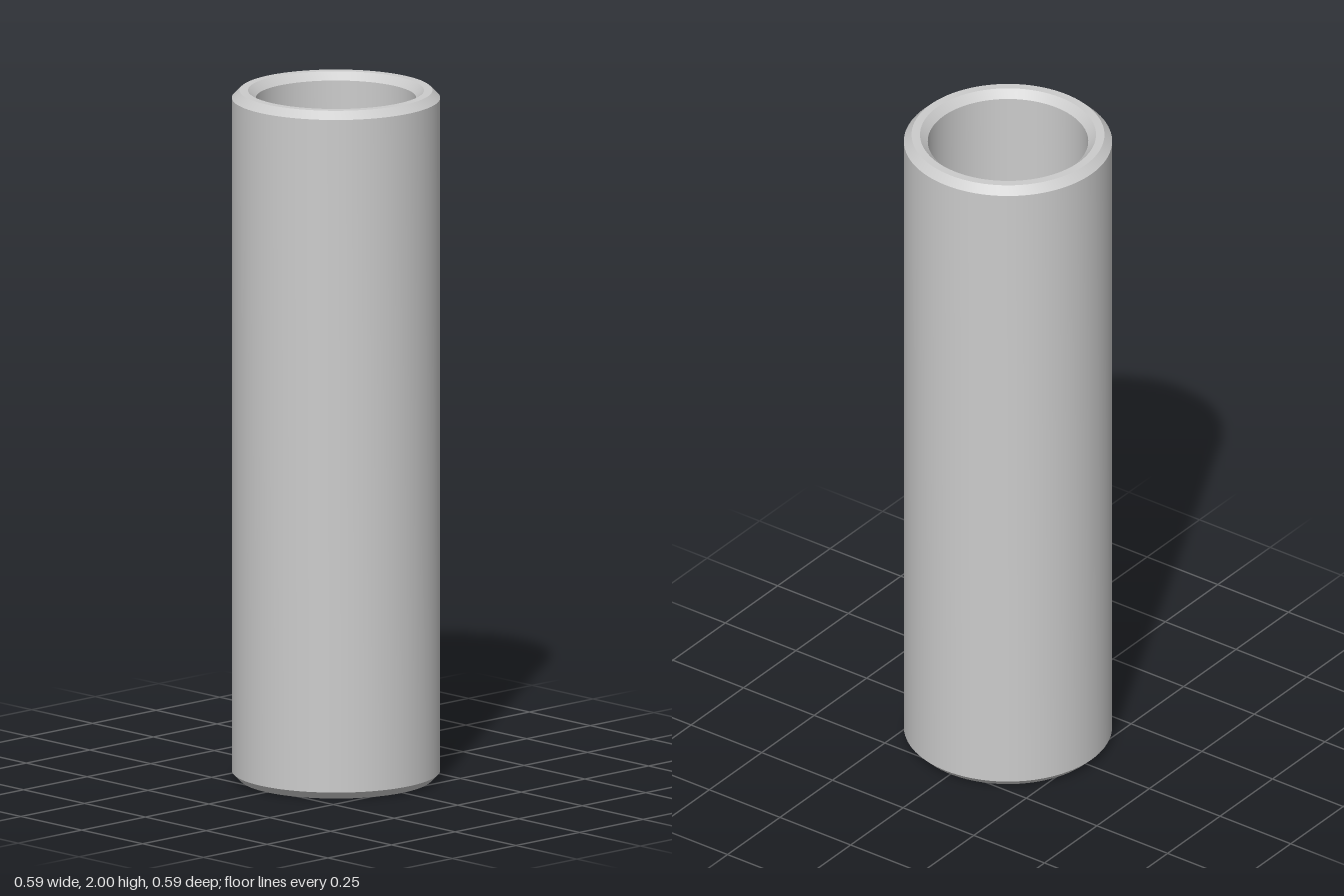
import * as THREE from 'three';
import { toCreasedNormals } from 'three/addons/utils/BufferGeometryUtils.js';

const HEIGHT = 2, OUTER = 0.296, BORE = 0.228, BEVEL = 0.022;
const FLAT_X = 0.183, FLAT_TOP = 1.0;

export function createModel() {
  const model = new THREE.Group();
  const material = new THREE.MeshStandardMaterial({ color: 0xcccccc });
  const add = (name, geometry) => {
    const mesh = new THREE.Mesh(geometry, material);
    mesh.name = name;
    model.add(mesh);
  };

  // Hollow sleeve with bevelled rims: up the outside, down the bore
  const profile = [
    [OUTER - BEVEL, 0], [OUTER, BEVEL],
    [OUTER, HEIGHT - BEVEL], [OUTER - BEVEL, HEIGHT],
    [BORE + BEVEL, HEIGHT], [BORE, HEIGHT - BEVEL],
    [BORE, BEVEL], [BORE + BEVEL, 0],
    [OUTER - BEVEL, 0],
  ].map(([r, y]) => new THREE.Vector2(r, y));
  add('sleeve', toCreasedNormals(new THREE.LatheGeometry(profile, 96), 0.5));

  // Flat key inside the lower bore, giving it a D-shaped section
  const radius = BORE + 0.004;
  const angle = Math.acos(FLAT_X / radius);
  const segment = new THREE.Shape();
  segment.absarc(0, 0, radius, -angle, angle, false);
  segment.closePath();
  const key = new THREE.ExtrudeGeometry(segment, {
    depth: FLAT_TOP - BEVEL, bevelEnabled: false, curveSegments: 24,
  });
  key.rotateX(-Math.PI / 2);
  key.translate(0, BEVEL, 0);
  add('boreFlat', toCreasedNormals(key, 0.5));

  return model;
}
